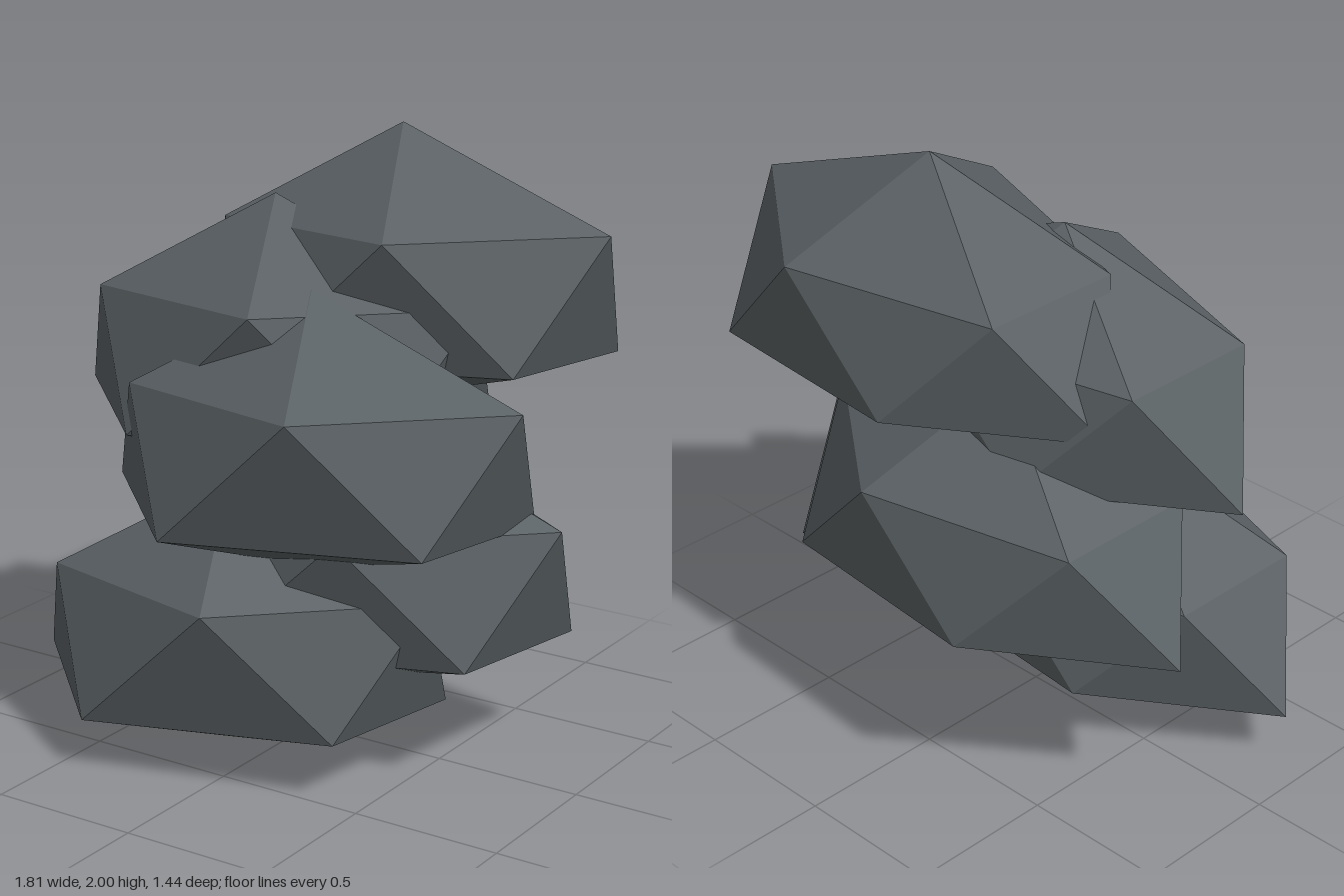
import * as THREE from 'three';

// One faceted boulder: a stretched, slightly worn icosahedron standing on its lower tip
function boulderGeometry() {
  const top = [0, 0.9, 0];
  const bottom = [0, 0, 0];
  // Rings run from the front towards +x
  const upper = [[0.23, 0.62, 0.49], [0.75, 0.62, 0], [0.2, 0.59, -0.42], [-0.52, 0.58, -0.25], [-0.52, 0.58, 0.25]];
  const lower = [[-0.24, 0.175, 0.49], [0.57, 0.2, 0.27], [0.63, 0.17, -0.31], [-0.2, 0.21, -0.42], [-0.75, 0.18, 0]];
  const points = [];
  for (let k = 0; k < 5; k++) {
    const n = (k + 1) % 5;
    points.push(
      top, upper[k], upper[n],
      lower[k], lower[n], upper[k],
      upper[k], lower[n], upper[n],
      bottom, lower[n], lower[k],
    );
  }
  const geometry = new THREE.BufferGeometry();
  geometry.setAttribute('position', new THREE.Float32BufferAttribute(points.flat(), 3));
  geometry.computeVertexNormals();
  return geometry;
}

export function createModel() {
  const group = new THREE.Group();
  group.name = 'boulderStack';
  const stone = new THREE.MeshStandardMaterial({ color: 0x596063 });
  stone.name = 'slate grey stone';
  const geometry = boulderGeometry();

  // Six boulders climb in even steps, alternating sideways and cycling front to back
  for (let i = 0; i < 6; i++) {
    const boulder = new THREE.Mesh(geometry, stone);
    boulder.name = `boulder${i + 1}`;
    boulder.position.set(i % 2 ? 0.153 : -0.16, i * 0.22, 0.225 - (i % 3) * 0.263);
    group.add(boulder);
  }
  return group;
}
